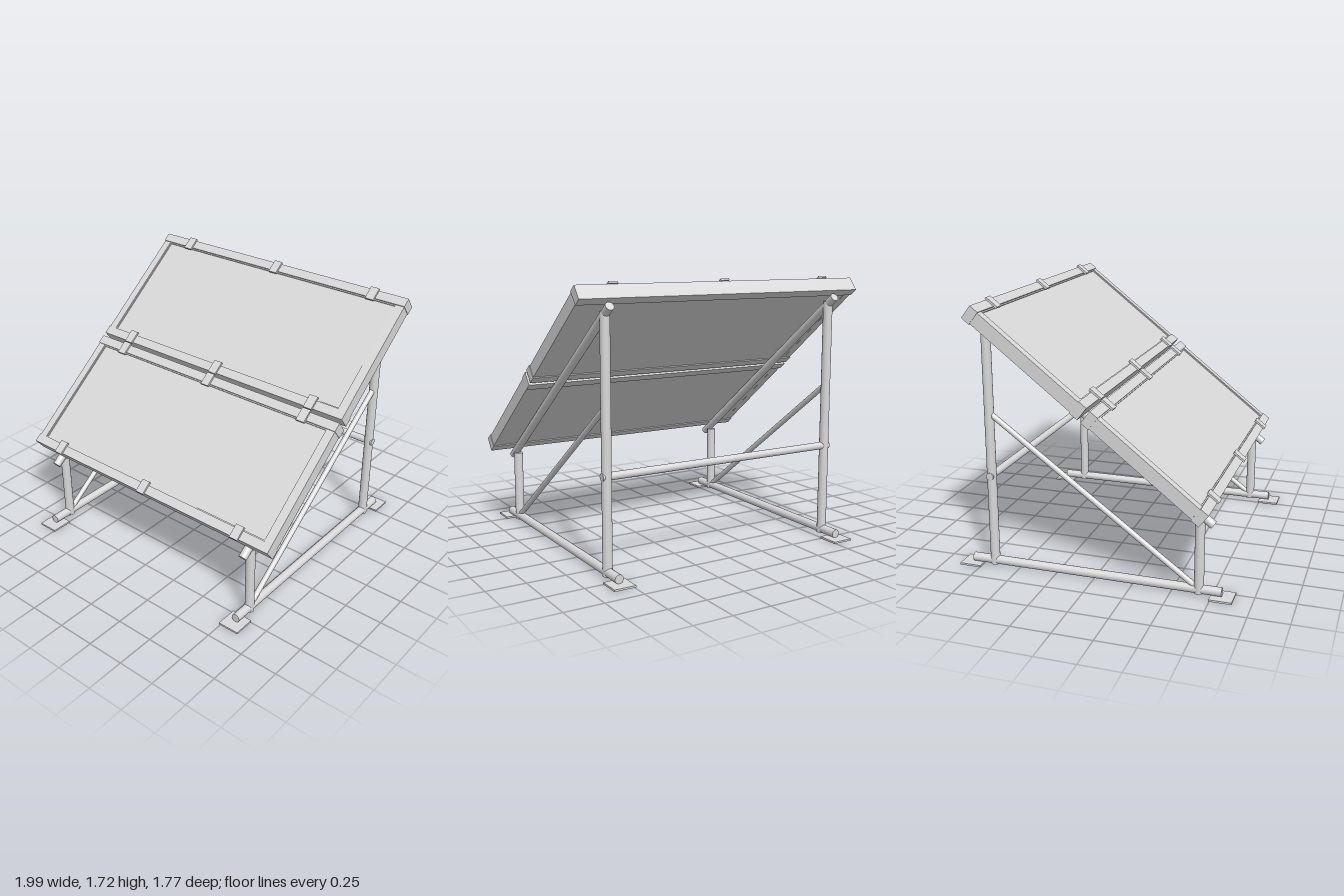
import * as THREE from 'three';

const metal = new THREE.MeshStandardMaterial({ color: 0xd8d8d8 });
metal.name = 'light grey metal';

function box(parent, name, w, h, d, x, y, z) {
  const m = new THREE.Mesh(new THREE.BoxGeometry(w, h, d), metal);
  m.name = name;
  m.position.set(x, y, z);
  parent.add(m);
}

// Round bar between two points
function tube(parent, name, a, b, r) {
  const p = new THREE.Vector3(...a), q = new THREE.Vector3(...b);
  const dir = q.clone().sub(p);
  const m = new THREE.Mesh(new THREE.CylinderGeometry(r, r, dir.length(), 24), metal);
  m.name = name;
  m.position.copy(p).add(q).multiplyScalar(0.5);
  m.quaternion.setFromUnitVectors(new THREE.Vector3(0, 1, 0), dir.normalize());
  parent.add(m);
}

// One framed panel lying flat, centred on its own origin, top of frame at y = 0
function makePanel(length) {
  const g = new THREE.Group();
  const half = 0.995, endBar = 0.06, sideBar = 0.055, thick = 0.095, lip = 0.008;
  const zBar = length / 2 - endBar / 2;
  const innerX = half - sideBar, innerZ = length / 2 - endBar;

  // sheet sits just below the frame top and almost flush underneath
  box(g, 'panelSheet', innerX * 2 + 0.02, 0.072, innerZ * 2 + 0.02, 0, -0.052, 0);
  for (const s of [-1, 1]) {
    box(g, 'endFrame', half * 2, thick, endBar, 0, -thick / 2, s * zBar);
    box(g, 'sideFrame', sideBar - 0.003, thick - 0.012, innerZ * 2,
      s * (half - sideBar / 2 - 0.0015), -thick / 2, 0);
    // narrow inner lips around the sheet
    box(g, 'endLip', innerX * 2, thick - 0.018, lip, 0, -thick / 2, s * (innerZ - lip / 2));
    box(g, 'sideLip', lip, thick - 0.018, innerZ * 2, s * (innerX - lip / 2), -thick / 2, 0);
    // clamp plates overhanging the end bars
    for (const x of [-0.755, 0, 0.755]) {
      box(g, 'clamp', 0.06, 0.014, 0.09, x, 0.005, s * (length / 2 - 0.035));
    }
  }
  return g;
}

export function createModel() {
  const model = new THREE.Group();
  model.name = 'tiltedPanelStand';

  // Tilted deck: local y is the panel normal, local -z runs up the slope
  const deck = new THREE.Group();
  deck.name = 'tiltedDeck';
  deck.rotation.x = THREE.MathUtils.degToRad(38);
  model.add(deck);

  [['lowerPanel', -0.211], ['upperPanel', -1.13]].forEach(([name, z]) => {
    const panel = makePanel(0.894);
    panel.name = name;
    panel.position.set(0, 0.936, z);
    deck.add(panel);
  });

  // Matching support frames on both sides
  for (const s of [-1, 1]) {
    const x = s * 0.81;
    const side = new THREE.Group();
    side.name = s > 0 ? 'leftSupport' : 'rightSupport';
    model.add(side);

    tube(deck, 'slopedRail', [x, 0.826, 0.308], [x, 0.804, -1.555], 0.027);
    tube(side, 'frontLeg', [x, 0.012, 0.671], [x, 0.49, 0.671], 0.03);
    tube(side, 'rearLeg', [x, 0.012, -0.668], [x, 1.56, -0.668], 0.03);
    tube(side, 'baseRail', [x, 0.038, 0.813], [x, 0.038, -0.813], 0.028);
    tube(side, 'diagonalBrace', [x, 0.055, 0.645], [x, 1.005, -0.65], 0.018);
    for (const z of [-0.815, 0.815]) {
      box(side, 'footPlate', 0.14, 0.012, 0.14, x, 0.006, z);
    }
  }

  // Bar joining the rear legs
  tube(model, 'crossBar', [-0.842, 0.61, -0.668], [0.842, 0.61, -0.668], 0.024);

  return model;
}
